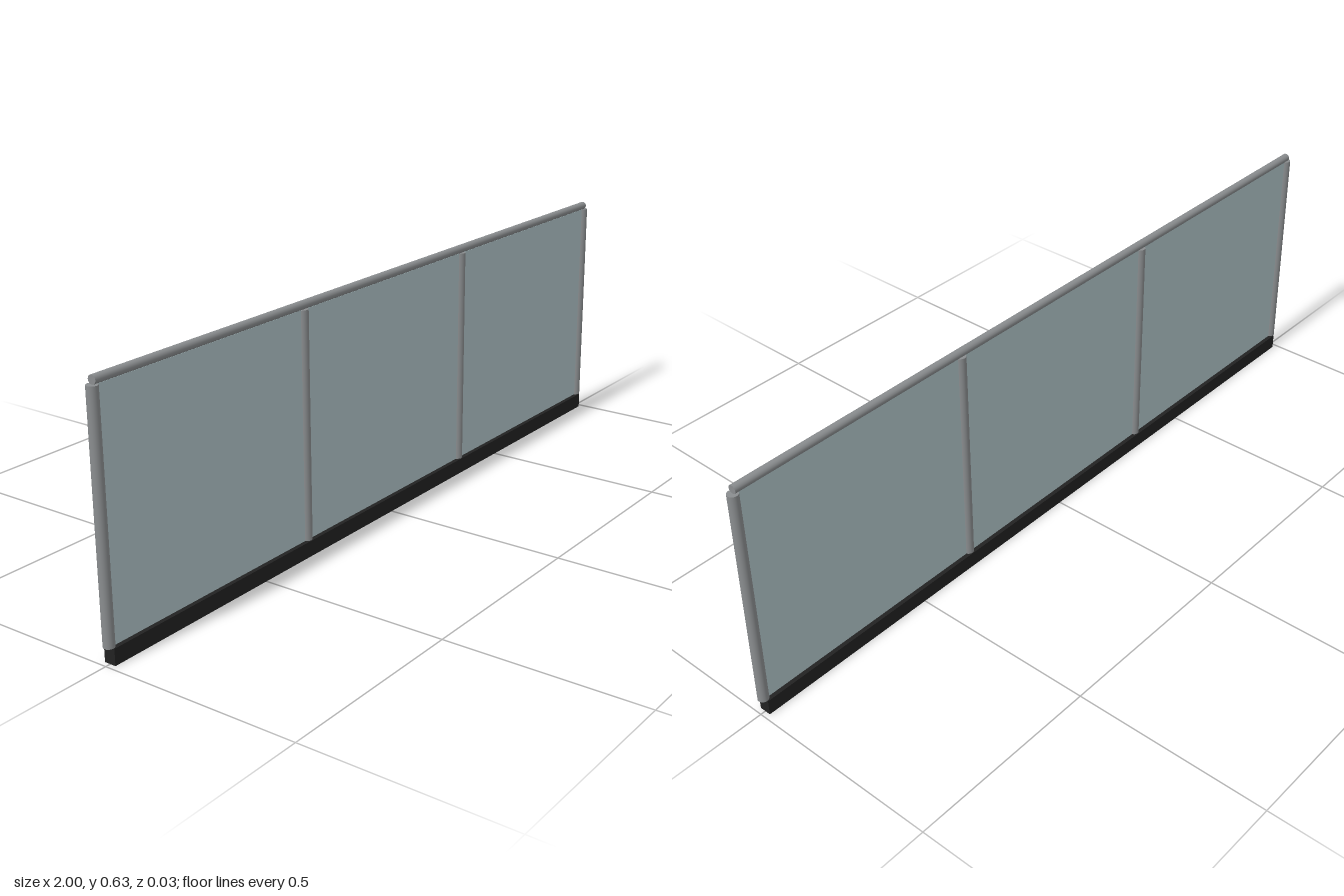
import * as THREE from 'three';

const flat = (name, color) => {
  const material = new THREE.MeshStandardMaterial({ color });
  material.name = name;
  return material;
};

export function createModel() {
  const group = new THREE.Group();
  group.name = 'glassRailing';

  const steel = flat('brushedSteel', 0x8a8d8f);
  const black = flat('blackBase', 0x222222);
  const glass = flat('paleGlass', 0xb0c4c8);

  const halfLength = 0.987;
  const bays = 3;
  const bayWidth = (2 * halfLength) / bays;
  const baseTop = 0.04;
  const postTop = 0.61;
  const postHeight = postTop - baseTop;
  const midY = (baseTop + postTop) / 2;

  const add = (name, geometry, material, x, y) => {
    const mesh = new THREE.Mesh(geometry, material);
    mesh.name = name;
    mesh.position.set(x, y, 0);
    group.add(mesh);
    return mesh;
  };

  // Base channel
  add('baseChannel', new THREE.BoxGeometry(2 * halfLength, baseTop, 0.03), black, 0, baseTop / 2);

  // Round posts at each bay boundary
  const postGeometry = new THREE.CylinderGeometry(0.0132, 0.0132, postHeight, 16);
  for (let i = 0; i <= bays; i++) {
    add(`post${i + 1}`, postGeometry, steel, -halfLength + i * bayWidth, midY);
  }

  // Glass panes, their edges held inside the posts
  const paneGeometry = new THREE.BoxGeometry(bayWidth - 0.016, postHeight, 0.008);
  for (let i = 0; i < bays; i++) {
    add(`glassPane${i + 1}`, paneGeometry, glass, -halfLength + (i + 0.5) * bayWidth, midY);
  }

  // Round handrail resting on the posts
  const rail = add('handrail', new THREE.CylinderGeometry(0.0105, 0.0105, 2 * halfLength, 16), steel, 0, 0.62);
  rail.rotation.z = Math.PI / 2;

  return group;
}
